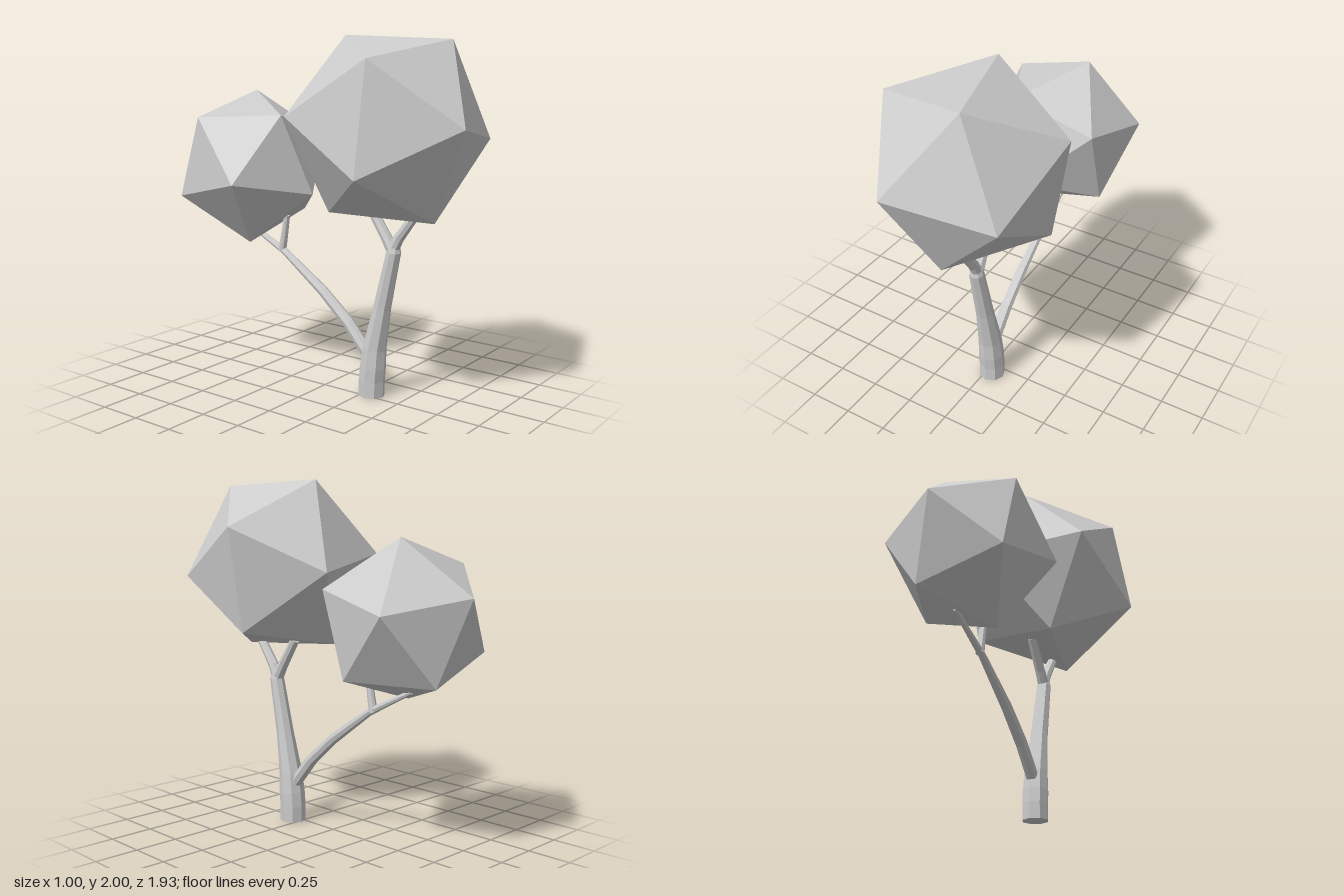
import * as THREE from 'three';

const SIDES = 8;
const TRUNK_X = 0.035;
const material = new THREE.MeshStandardMaterial({ color: 0xcccccc, flatShading: true });

function addMesh(parent, geometry, name) {
  const mesh = new THREE.Mesh(geometry, material);
  mesh.name = name;
  parent.add(mesh);
  return mesh;
}

// Tapered eight-sided limb; each stop is [z, y, radius] in the plane of the tree
function limbGeometry(stops) {
  const positions = [];
  const index = [];
  const points = stops.map(([z, y]) => new THREE.Vector2(z, y));
  const last = stops.length - 1;

  stops.forEach(([z, y, r], i) => {
    // ring is square to the average of the neighbouring segments
    const t = new THREE.Vector2();
    if (i > 0) t.add(points[i].clone().sub(points[i - 1]).normalize());
    if (i < last) t.add(points[i + 1].clone().sub(points[i]).normalize());
    t.normalize();
    for (let k = 0; k < SIDES; k++) {
      const a = (k / SIDES) * Math.PI * 2;
      const s = Math.sin(a) * r;
      positions.push(TRUNK_X + Math.cos(a) * r, y + s * t.x, z - s * t.y);
    }
  });

  for (let i = 0; i < last; i++) {
    for (let k = 0; k < SIDES; k++) {
      const a = i * SIDES + k;
      const b = i * SIDES + ((k + 1) % SIDES);
      index.push(a, b, b + SIDES, a, b + SIDES, a + SIDES);
    }
  }
  // end caps
  const end = last * SIDES;
  for (let k = 1; k < SIDES - 1; k++) {
    index.push(0, k + 1, k, end, end + k, end + k + 1);
  }

  const geometry = new THREE.BufferGeometry();
  geometry.setAttribute('position', new THREE.Float32BufferAttribute(positions, 3));
  geometry.setIndex(index);
  const flat = geometry.toNonIndexed();
  flat.computeVertexNormals();
  return flat;
}

// Icosahedron turned so that two neighbouring corners point along p and q
function addCrown(parent, name, center, radius, p, q) {
  const P = new THREE.Vector3(...p).normalize();
  const Q = new THREE.Vector3(...q).normalize();
  const x = P.clone().sub(Q).normalize();
  const y = P.clone().add(Q).normalize();
  const z = x.clone().cross(y);
  const crown = addMesh(parent, new THREE.IcosahedronGeometry(radius, 0), name);
  crown.quaternion.setFromRotationMatrix(new THREE.Matrix4().makeBasis(x, y, z));
  crown.position.set(...center);
}

export function createModel() {
  const tree = new THREE.Group();
  tree.name = 'tree';

  // Trunk and the limbs growing from it
  const limbs = {
    trunk: [
      [0.305, 0, 0.075], [0.305, 0.09, 0.075], [0.312, 0.17, 0.075],
      [0.322, 0.28, 0.068], [0.37, 0.52, 0.051], [0.44, 0.84, 0.042], [0.438, 0.89, 0.03],
    ],
    frontFork: [[0.43, 0.84, 0.034], [0.47, 0.92, 0.031], [0.575, 1.06, 0.026]],
    backFork: [[0.44, 0.84, 0.036], [0.39, 0.92, 0.031], [0.28, 1.085, 0.027]],
    longBranch: [
      [0.29, 0.22, 0.036], [0.235, 0.285, 0.036], [0.14, 0.395, 0.035],
      [-0.04, 0.55, 0.031], [-0.32, 0.745, 0.021], [-0.61, 0.888, 0.013],
    ],
    twig: [[-0.345, 0.745, 0.024], [-0.33, 0.82, 0.022], [-0.305, 0.965, 0.018]],
  };
  for (const [name, stops] of Object.entries(limbs)) {
    addMesh(tree, limbGeometry(stops), name);
  }

  // Foliage
  addCrown(tree, 'largeCrown', [0, 1.515, 0.425], 0.562, [0.5, 0.22, -0.125], [0, 0.485, -0.285]);
  addCrown(tree, 'smallCrown', [0, 1.25, -0.53], 0.461, [0.13, 0.435, -0.08], [0.41, 0.065, -0.2]);

  return tree;
}
